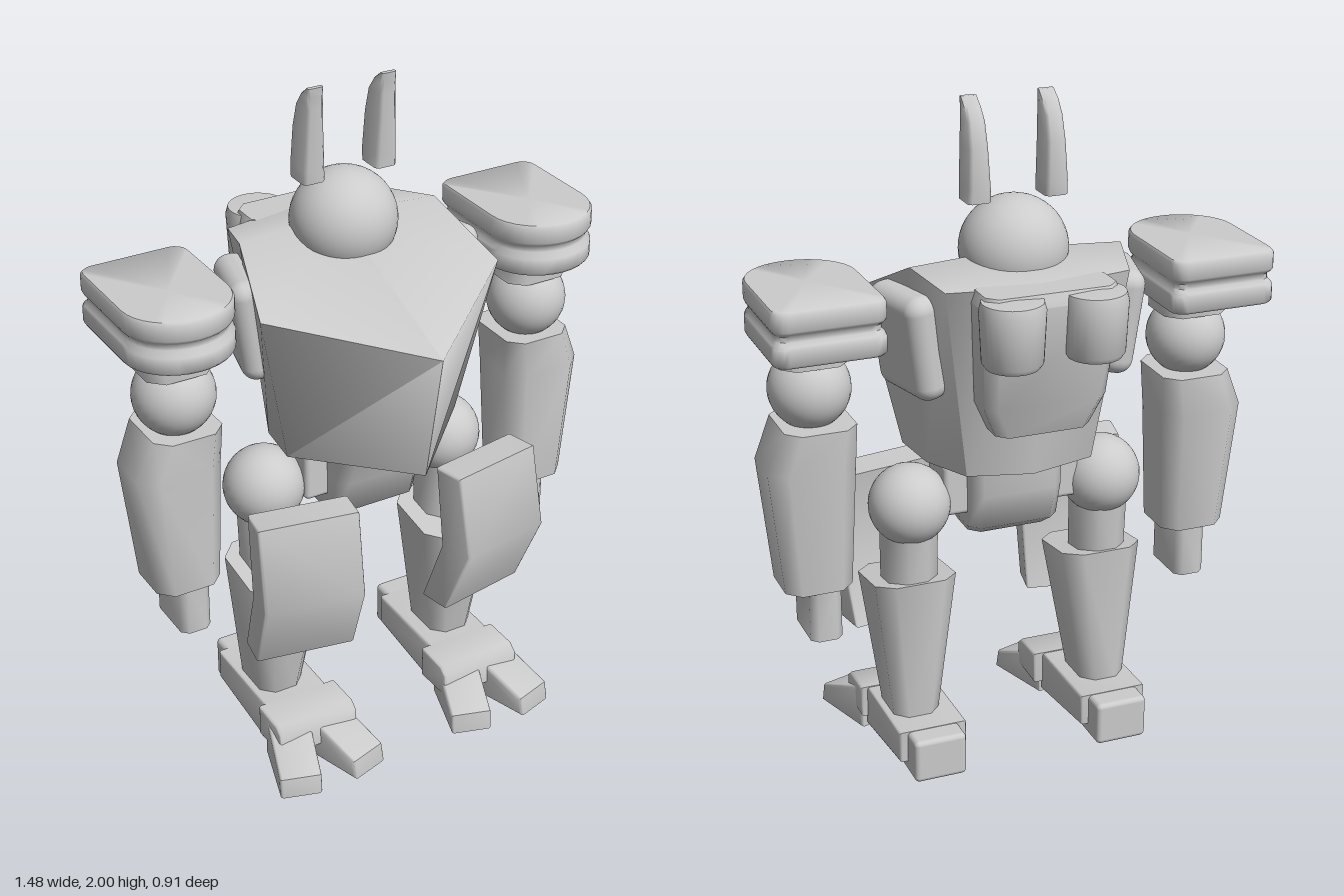
import * as THREE from 'three';
import { toCreasedNormals } from 'three/addons/utils/BufferGeometryUtils.js';
import { RoundedBoxGeometry } from 'three/addons/geometries/RoundedBoxGeometry.js';

const material = new THREE.MeshStandardMaterial({ color: 0xcccccc });

// Skin over rings of [x, y, z] points, bottom to top, counter-clockwise seen from above.
function loft(rings, crease = 0.9, topCentre) {
  const n = rings[0].length;
  const centre = r => [0, 1, 2].map(k => r.reduce((sum, p) => sum + p[k], 0) / n);
  const last = rings.length - 1;
  const points = [...rings.flat(), centre(rings[0]), topCentre ?? centre(rings[last])];
  const index = [];
  for (let i = 0; i < n; i++) {
    const j = (i + 1) % n;
    for (let r = 0; r < last; r++) {
      const a = r * n + i, b = r * n + j;
      index.push(a, b, b + n, a, b + n, a + n);
    }
    index.push(points.length - 2, j, i, points.length - 1, last * n + i, last * n + j);
  }
  const g = new THREE.BufferGeometry();
  g.setAttribute('position', new THREE.Float32BufferAttribute(points.flat(), 3));
  g.setIndex(index);
  return toCreasedNormals(g, crease);
}

// Rectangle with cut corners at height y.
function ring(y, x0, x1, z0, z1, c = 0.03) {
  return [[x1, z1 - c], [x1, z0 + c], [x1 - c, z0], [x0 + c, z0],
    [x0, z0 + c], [x0, z1 - c], [x0 + c, z1], [x1 - c, z1]].map(([x, z]) => [x, y, z]);
}

// Side profile of [z, y] points, extruded along x and centred on x = 0.
function sideProfile(points, width, bevel = 0.008) {
  const shape = new THREE.Shape(points.map(([z, y]) => new THREE.Vector2(-z, y)));
  const g = new THREE.ExtrudeGeometry(shape, {
    depth: width - 2 * bevel, bevelEnabled: true, bevelThickness: bevel,
    bevelSize: bevel, bevelOffset: -bevel, bevelSegments: 2 });
  g.translate(0, 0, bevel - width / 2).rotateY(Math.PI / 2);
  return toCreasedNormals(g, 0.9);
}

const ball = (r, x, y, z) => new THREE.SphereGeometry(r, 32, 20).translate(x, y, z);

// Copy across x = 0 with the corner order turned round.
function mirrored(source) {
  const g = (source.index ? source.toNonIndexed() : source.clone()).scale(-1, 1, 1);
  for (const { array, itemSize: s } of Object.values(g.attributes)) {
    for (let t = 0; t < array.length; t += 3 * s) {
      const second = array.slice(t + s, t + 2 * s);
      array.copyWithin(t + s, t + 2 * s, t + 3 * s);
      array.set(second, t + 2 * s);
    }
  }
  return g;
}

// Rounded-front outline of the shoulder pad, scaled about its middle.
function padRing(y, s) {
  const pts = [];
  const arc = (cx, cz, rx, rz, from, to, steps) => {
    for (let i = 0; i <= steps; i++) {
      const a = (from + (to - from) * i / steps) * Math.PI;
      pts.push([cx + rx * Math.cos(a), cz - rz * Math.sin(a)]);
    }
  };
  arc(0.12, -0.21, 0.04, 0.04, 0, 0.5, 4);
  arc(-0.12, -0.21, 0.04, 0.04, 0.5, 1, 4);
  arc(0, 0.04, 0.16, 0.15, 1, 2, 16);
  return pts.map(([x, z]) => [0.58 + x * s, y, -0.03 + (z + 0.03) * s]);
}

export function createModel() {
  const model = new THREE.Group();
  const add = (name, geometry, parent = model) => {
    const mesh = new THREE.Mesh(geometry, material);
    mesh.name = name;
    parent.add(mesh);
  };
  const groups = {};
  const pair = (limb, name, geometry) => {
    for (const side of ['left', 'right']) {
      const key = side + limb;
      if (!groups[key]) {
        groups[key] = new THREE.Group();
        groups[key].name = key;
        model.add(groups[key]);
      }
      add(name, side === 'left' ? geometry : mirrored(geometry), groups[key]);
    }
  };

  // Torso: a wedge with a pointed chest and sloping top
  const symmetric = (half, back, front) => [...half, back,
    ...half.slice().reverse().map(([x, y, z]) => [-x, y, z]), front];
  add('torso', loft([
    symmetric([[0.28, 0.965, 0.09], [0.26, 0.96, -0.06], [0.19, 0.96, -0.2]], [0, 0.95, -0.23], [0, 0.97, 0.38]),
    symmetric([[0.38, 1.44, 0.14], [0.315, 1.56, -0.1], [0.27, 1.53, -0.26]], [0, 1.53, -0.31], [0, 1.37, 0.455]),
  ], 1.4, [0, 1.58, -0.1]));
  pair('Body', 'sidePlate', new RoundedBoxGeometry(0.1, 0.31, 0.25, 5, 0.045)
    .rotateZ(-0.14).rotateY(0.24).translate(0.315, 1.345, -0.08));

  // Backpack and thrusters
  add('backpack', loft([
    ring(1.11, -0.14, 0.14, -0.32, -0.18), ring(1.2, -0.18, 0.18, -0.34, -0.19),
    ring(1.5, -0.2, 0.2, -0.39, -0.22), ring(1.535, -0.19, 0.19, -0.375, -0.24)]));
  pair('Body', 'thruster', toCreasedNormals(new THREE.LatheGeometry(
    [[0, 1.34], [0.075, 1.34], [0.085, 1.355], [0.092, 1.5], [0.085, 1.525], [0, 1.53]]
      .map(p => new THREE.Vector2(...p)), 32), 0.9).translate(0.12, 0, -0.367));

  // Head and ears
  add('head', new THREE.SphereGeometry(0.155, 40, 24).scale(1, 0.97, 0.97).translate(0, 1.575, -0.075));
  pair('Body', 'ear', loft([
    ring(1.72, 0.08, 0.147, -0.118, -0.03, 0.01), ring(1.76, 0.081, 0.146, -0.121, -0.028, 0.01),
    ring(1.87, 0.086, 0.141, -0.113, -0.024, 0.009), ring(1.94, 0.088, 0.138, -0.095, -0.022, 0.008),
    ring(1.975, 0.09, 0.137, -0.068, -0.021, 0.006), ring(2, 0.091, 0.136, -0.034, -0.02, 0.003)]));

  // Pelvis, narrowing to a rounded underside
  add('pelvis', loft([
    ring(0.71, -0.125, 0.125, -0.06, 0.08), ring(0.74, -0.138, 0.138, -0.1, 0.12),
    ring(0.85, -0.14, 0.14, -0.13, 0.15), ring(0.98, -0.14, 0.14, -0.13, 0.2)]));
  add('hipBar', new RoundedBoxGeometry(0.42, 0.16, 0.14, 3, 0.015).translate(0, 0.86, 0));

  // Arms
  pair('Arm', 'shoulderPad', loft([
    [1.37, 0.97], [1.378, 1], [1.422, 1], [1.43, 0.98], [1.44, 0.93],
    [1.455, 0.93], [1.465, 0.98], [1.473, 1], [1.518, 1], [1.526, 0.97]].map(p => padRing(...p))));
  pair('Arm', 'shoulderMount', loft([
    ring(1.3, 0.48, 0.68, -0.1, 0.09, 0.04), ring(1.38, 0.48, 0.68, -0.1, 0.09, 0.04)]));
  pair('Arm', 'shoulderBall', ball(0.118, 0.58, 1.215, 0));
  pair('Arm', 'forearm', loft([
    ring(0.62, 0.49, 0.69, -0.1, 0.1, 0.04), ring(1, 0.473, 0.73, -0.123, 0.108, 0.05),
    ring(1.12, 0.47, 0.68, -0.125, 0.11, 0.04)]));
  pair('Arm', 'hand', loft([
    ring(0.465, 0.53, 0.625, -0.095, 0.085, 0.02), ring(0.64, 0.53, 0.625, -0.095, 0.085, 0.02)]));

  // Legs
  pair('Leg', 'hipBall', ball(0.12, 0.3, 0.82, -0.02));
  pair('Leg', 'thigh', loft([
    ring(0.5, 0.225, 0.375, -0.08, 0.08, 0.045), ring(0.78, 0.225, 0.375, -0.1, 0.08, 0.045)]));
  const shinTop = ring(0, 0.17, 0.42, -0.1, 0.16, 0.05).map(([x, , z]) => [x, 0.595 - (z + 0.1) * 0.15, z]);
  pair('Leg', 'shin', loft([ring(0.13, 0.235, 0.37, -0.09, 0.09, 0.035), shinTop]));
  pair('Leg', 'kneeShield', sideProfile([
    [0.275, 0.86], [0.325, 0.61], [0.225, 0.38], [0.125, 0.38], [0.205, 0.6], [0.175, 0.855]], 0.3)
    .translate(0, 0, -0.23).rotateY(0.18).translate(0.305, 0, 0.23));

  // Feet with two splayed toes
  pair('Foot', 'heel', new RoundedBoxGeometry(0.16, 0.135, 0.2, 3, 0.015).translate(0.29, 0.088, -0.14));
  pair('Foot', 'sole', sideProfile([
    [0.15, 0.02], [0.15, 0.152], [-0.17, 0.157], [-0.17, 0.06]], 0.21).translate(0.29, 0, 0));
  pair('Foot', 'instep', sideProfile([
    [0.27, 0.06], [0.265, 0.135], [0.24, 0.155], [0.13, 0.155], [0.13, 0.055]], 0.26).translate(0.285, 0, 0));
  for (const s of [-1, 1]) {
    pair('Foot', s < 0 ? 'innerToe' : 'outerToe', sideProfile([
      [0.19, 0.0], [0.19, 0.005], [0.18, 0.06], [0, 0.135], [-0.03, 0.135], [-0.03, 0.0]], 0.125)
      .rotateY(s * 0.3).translate(0.295 + s * 0.06, 0, 0.205));
  }
  return model;
}
